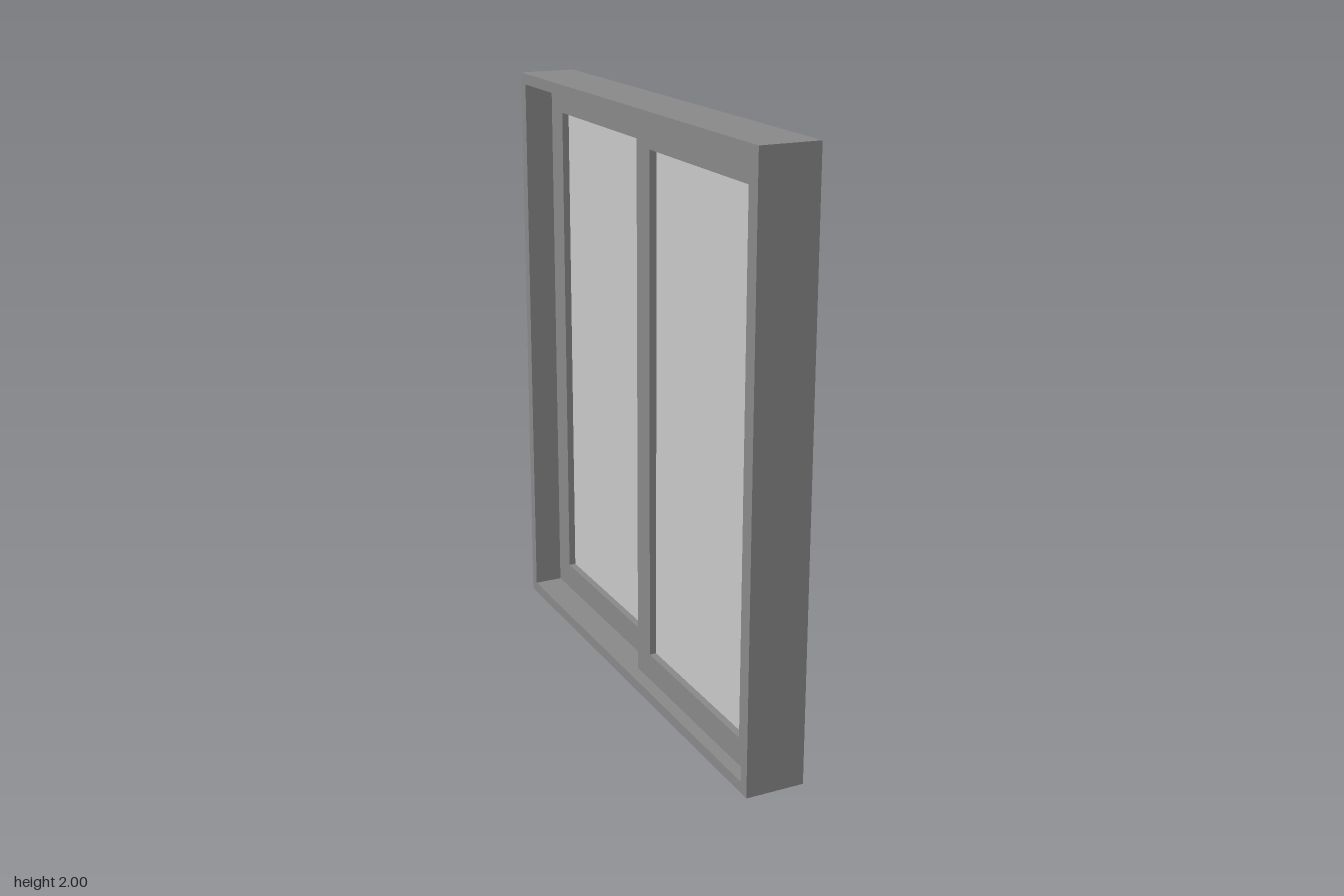
import * as THREE from 'three';

const frameMat = new THREE.MeshStandardMaterial({ color: 0x8b8b8b });
const lightMat = new THREE.MeshStandardMaterial({ color: 0xcccccc });

// Outline helpers; u runs along the width, y is up
function rect(u0, y0, u1, y1, Type = THREE.Shape) {
  const p = new Type();
  p.moveTo(u0, y0);
  p.lineTo(u1, y0);
  p.lineTo(u1, y1);
  p.lineTo(u0, y1);
  p.closePath();
  return p;
}

function capsule(u, y, r, half, Type = THREE.Shape) {
  const p = new Type();
  p.moveTo(u + r, y - half + r);
  p.lineTo(u + r, y + half - r);
  p.absarc(u, y + half - r, r, 0, Math.PI, false);
  p.lineTo(u - r, y - half + r);
  p.absarc(u, y - half + r, r, Math.PI, Math.PI * 2, false);
  return p;
}

function slab(name, shape, holes, from, to, material, bevel = 0) {
  shape.holes.push(...holes);
  const geometry = new THREE.ExtrudeGeometry(shape, {
    depth: to - from - bevel, curveSegments: 10,
    bevelEnabled: bevel > 0, bevelSize: bevel, bevelThickness: bevel, bevelOffset: -bevel, bevelSegments: 2,
  });
  geometry.translate(0, 0, from);
  const mesh = new THREE.Mesh(geometry, material);
  mesh.name = name;
  return mesh;
}

// One sliding panel; side is -1 or 1 along u, its rear face lies at depth zero
function makeSash(name, side) {
  const sash = new THREE.Group();
  sash.name = name;
  const box = (a, y0, b, y1, Type) =>
    rect(Math.min(a * side, b * side), y0, Math.max(a * side, b * side), y1, Type);
  const handleU = 0.781 * side;
  const recess = () => capsule(handleU, 1, 0.017, 0.1, THREE.Path);

  sash.add(
    slab('sashBody', box(0, 0.038, 0.83, 1.962),
      [box(0.095, 0.132, 0.735, 1.868, THREE.Path)], 0, 0.045, frameMat),
    // Raised moulding around the face, cut out behind the pull
    slab('sashMoulding', box(0.022, 0.063, 0.806, 1.938),
      [box(0.072, 0.109, 0.758, 1.892, THREE.Path), recess()], 0.045, 0.056, frameMat),
    slab('glass', box(0.09, 0.127, 0.74, 1.873), [], 0.024, 0.03, lightMat),
    // Flush pull: plate with a sunken grip
    slab('handlePlate', capsule(handleU, 1, 0.021, 0.2), [recess()], 0.056, 0.061, lightMat, 0.001),
    slab('handleRecess', capsule(handleU, 1, 0.017, 0.1), [], 0.044, 0.047, lightMat),
  );
  return sash;
}

export function createModel() {
  const model = new THREE.Group();
  model.name = 'slidingWindow';

  // Drawn facing +z, then turned so that it faces +x
  const window = new THREE.Group();
  window.name = 'windowAssembly';
  window.rotation.y = Math.PI / 2;
  model.add(window);

  // Outer frame
  window.add(slab('outerFrame', rect(-0.867, 0, 0.867, 2),
    [rect(-0.83, 0.038, 0.83, 1.962, THREE.Path)], -0.1, 0.1, frameMat));

  // Two panels on separate tracks
  const frontSash = makeSash('frontSash', 1);
  const rearSash = makeSash('rearSash', -1);
  rearSash.position.z = -0.056;
  window.add(frontSash, rearSash);

  return model;
}
